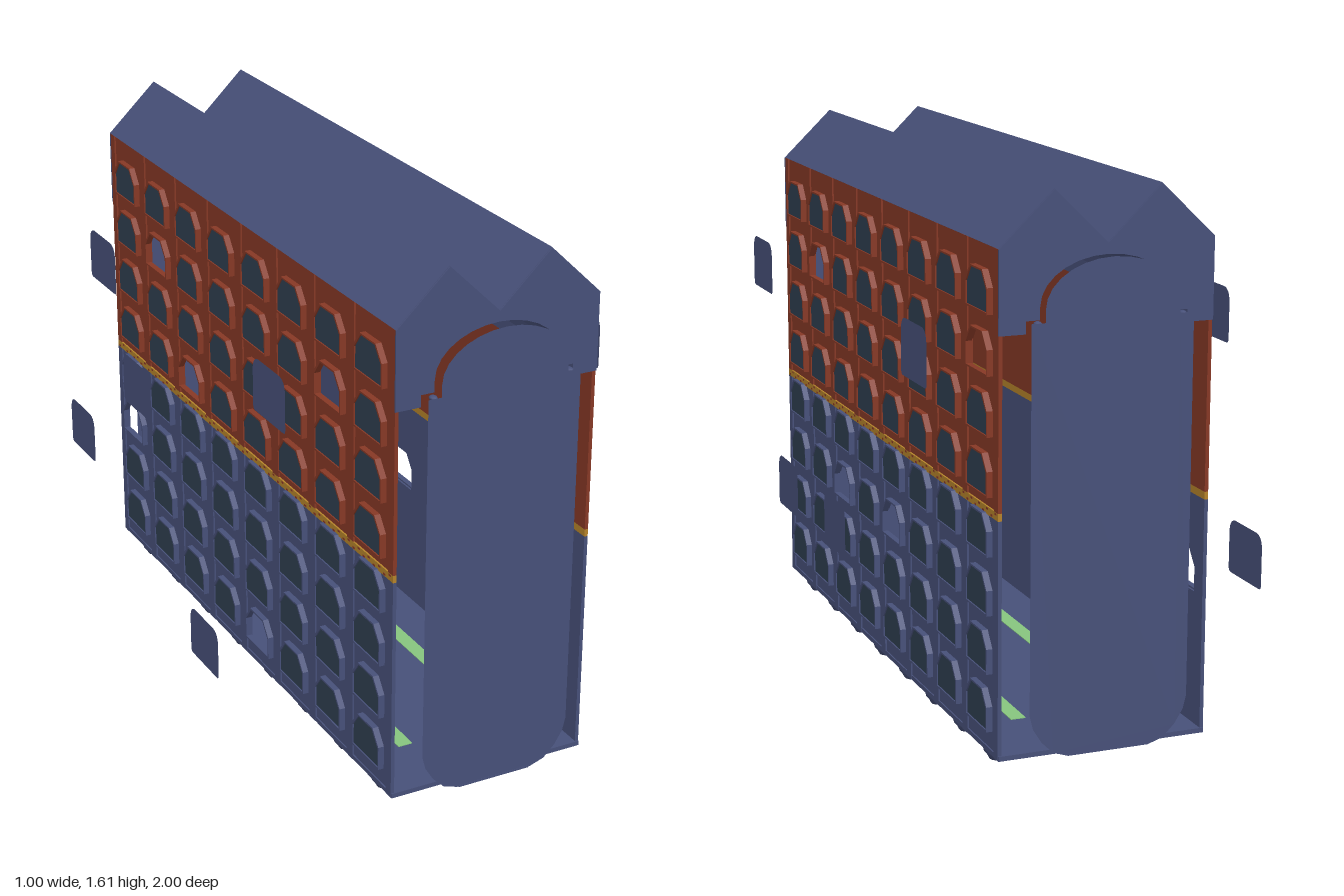
import * as THREE from 'three';
import { mergeGeometries } from 'three/addons/utils/BufferGeometryUtils.js';

const mat = (name, color, side = THREE.FrontSide) => {
  const m = new THREE.MeshStandardMaterial({ color, side });
  m.name = name;
  return m;
};

const COLS = 8, ROWS = 8, PITCH = 0.2355, ROW_PITCH = 0.1665;
const colZ = i => 0.825 - PITCH * i;
const rowY = j => 0.112 + ROW_PITCH * j;

// closed polygon shape from points
const poly = (pts, Type = THREE.Shape) => new Type(pts.map(p => new THREE.Vector2(p[0], p[1])));

// window outline with clipped top corners, bottom centre at (u, y), grown by g
function windowPoints(u, y, g = 0) {
  const w = 0.08 + g, b = y - g, t = y + 0.117 + g;
  return [[u - w, b], [u + w, b], [u + w, t - 0.045], [u + w - 0.035, t], [u - w + 0.035, t], [u - w, t - 0.045]];
}

// right half of the doorway arch, from shoulder to crown and down again
function archPoints() {
  const pts = [[0.235, 1.265], [0.195, 1.265]];
  for (let k = 0; k <= 14; k++) {
    const a = Math.PI * k / 14;
    pts.push([0.195 * Math.cos(a), 1.3 + 0.13 * Math.sin(a)]);
  }
  pts.push([-0.195, 1.265], [-0.235, 1.265]);
  return pts;
}

// double gable cross-section with the arch cut out from below
const gableShape = w => poly([[w, 1.23], [w, 1.46], [0.155, 1.61], [0, 1.46], [-0.155, 1.61], [-w, 1.46], [-w, 1.23],
  [-0.235, 1.23], ...archPoints().reverse(), [0.235, 1.23]]);

const extrude = (shape, depth) => new THREE.ExtrudeGeometry(shape, { depth, bevelEnabled: false });

export function createModel() {
  const blue = mat('slate blue', 0x475079), red = mat('brick red', 0x863825);
  const blueThin = mat('slate blue sheet', 0x475079, THREE.DoubleSide);
  const glassMat = mat('dark glass', 0x2f3f50), gold = mat('ochre', 0xb5832a), green = mat('pale green', 0x86c47e);

  const root = new THREE.Group();
  const add = (parent, name, geo, material, x = 0, y = 0, z = 0) => {
    const m = new THREE.Mesh(geo, material);
    m.name = name;
    m.position.set(x, y, z);
    parent.add(m);
    return m;
  };

  // shared window parts
  const rimShape = poly(windowPoints(0, 0));
  rimShape.holes.push(poly(windowPoints(0, 0, -0.005), THREE.Path));
  const rimGeo = extrude(rimShape, 0.018);
  const glassGeo = new THREE.ShapeGeometry(poly(windowPoints(0, 0, -0.003)));

  // loose cover sheet with rounded corners
  const c = new THREE.Shape();
  c.moveTo(-0.085, -0.015).lineTo(0.085, -0.015).quadraticCurveTo(0.1, -0.015, 0.1, 0)
    .lineTo(0.1, 0.105).quadraticCurveTo(0.098, 0.142, 0.065, 0.145)
    .lineTo(-0.065, 0.145).quadraticCurveTo(-0.098, 0.142, -0.1, 0.105)
    .lineTo(-0.1, 0).quadraticCurveTo(-0.1, -0.015, -0.085, -0.015);
  const coverGeo = new THREE.ShapeGeometry(c);

  // side walls, built in a local plane (u, y) facing +z, then turned outward
  function sideWall(s, open) {
    const g = new THREE.Group();
    g.name = s > 0 ? 'leftWall' : 'rightWall';
    g.rotation.y = s * Math.PI / 2;
    const isOpen = (i, j) => open.some(o => o[0] === i && o[1] === j);
    const bands = [['lowerWall', 0.045, 0.725, blue, 0, 4], ['upperWall', 0.747, 1.46, red, 4, 8]];
    for (const [name, y0, y1, m, j0, j1] of bands) {
      const sh = poly([[-0.956, y0], [0.956, y0], [0.956, y1], [-0.956, y1]]);
      for (const [i, j] of open)
        if (j >= j0 && j < j1) sh.holes.push(poly(windowPoints(-s * colZ(i), rowY(j)), THREE.Path));
      add(g, name, extrude(sh, 0.006), m, 0, 0, 0.3);
      // pilasters between window columns
      const strips = [];
      for (let k = 0; k <= COLS; k++) {
        const strip = new THREE.BoxGeometry(k % COLS ? 0.038 : 0.03, y1 - y0, 0.01);
        strip.translate(k === 0 ? -0.941 : k === COLS ? 0.941 : -0.942 + PITCH * k, (y0 + y1) / 2, 0.306);
        strips.push(strip);
      }
      add(g, name + 'Pilasters', mergeGeometries(strips), m);
    }
    // ochre belt with a dotted red pattern
    add(g, 'belt', new THREE.BoxGeometry(1.912, 0.022, 0.011), gold, 0, 0.736, 0.3055);
    const dots = [];
    for (let k = 0; k < 64; k++) {
      const d = new THREE.BoxGeometry(0.012, 0.006, 0.002);
      d.translate(-0.94 + k * 0.0298, 0.736 + (k % 2 ? 0.006 : -0.005), 0.311);
      dots.push(d);
    }
    add(g, 'beltPattern', mergeGeometries(dots), red);
    // windows, with some opened and their covers floating outside
    for (let i = 0; i < COLS; i++) for (let j = 0; j < ROWS; j++) {
      const u = -s * colZ(i), y = rowY(j);
      add(g, 'windowRim', rimGeo, j < 4 ? blue : red, u, y, 0.306);
      if (isOpen(i, j)) add(g, 'looseCover', coverGeo, blueThin, u, y, 0.5);
      else add(g, 'windowGlass', glassGeo, glassMat, u, y, 0.32);
    }
    root.add(g);
  }
  sideWall(1, [[1, 6], [7, 6], [2, 2], [4, 2]]);
  sideWall(-1, [[6, 6], [1, 6], [5, 4], [7, 2], [3, 0]]);

  // vaulted roof body, weather surface and gable ends
  add(root, 'roof', extrude(gableShape(0.299), 1.912), blue, 0, 0, -0.956);
  for (const s of [1, -1]) {
    const sh = poly([[0, 1.461], [s * 0.155, 1.612], [s * 0.312, 1.461], [s * 0.3, 1.455]]);
    add(root, 'roofRidge', extrude(sh, 1.912), blue, 0, 0, -0.956);
    add(root, 'gableEnd', extrude(gableShape(0.312), 0.005), blue, 0, 0, s > 0 ? 0.955 : -0.96);
  }

  // floor with two grated strips
  add(root, 'floor', new THREE.BoxGeometry(0.62, 0.014, 1.92), blue, 0, 0.052, 0);
  for (const s of [1, -1])
    add(root, 'floorStrip', new THREE.BoxGeometry(0.045, 0.018, 1.46), green, s * 0.15, 0.052, 0.02);
  add(root, 'frontSill', new THREE.BoxGeometry(0.23, 0.006, 0.04), blue, 0, 0.051, 0.98);

  // arched end doors standing just off the body
  const doorGeo = new THREE.ShapeGeometry(poly([[-0.12, 0.05], [0.12, 0.05], [0.165, 0.065], [0.2, 0.1], [0.225, 0.14], [0.235, 0.18],
    ...archPoints(), [-0.235, 0.18], [-0.225, 0.14], [-0.2, 0.1], [-0.165, 0.065]]));
  const pinGeo = new THREE.SphereGeometry(0.015, 8, 6);
  pinGeo.scale(0.8, 0.5, 1);
  for (const e of [1, -1]) {
    add(root, e > 0 ? 'frontDoor' : 'backDoor', doorGeo, blueThin, 0, 0, e * 0.999);
    for (const s of [1, -1]) add(root, 'doorPin', pinGeo, blue, s * 0.21, 1.26, e * 0.98);
  }

  // tapered feet under every window column
  const footGeo = new THREE.LatheGeometry(
    [[0, 0], [0.022, 0], [0.03, 0.015], [0.036, 0.02], [0.042, 0.04], [0.05, 0.046]].map(p => new THREE.Vector2(...p)), 10);
  for (const s of [1, -1]) for (let i = 0; i < COLS; i++)
    add(root, 'foot', footGeo, blue, s * 0.26, 0, colZ(i));

  return root;
}
